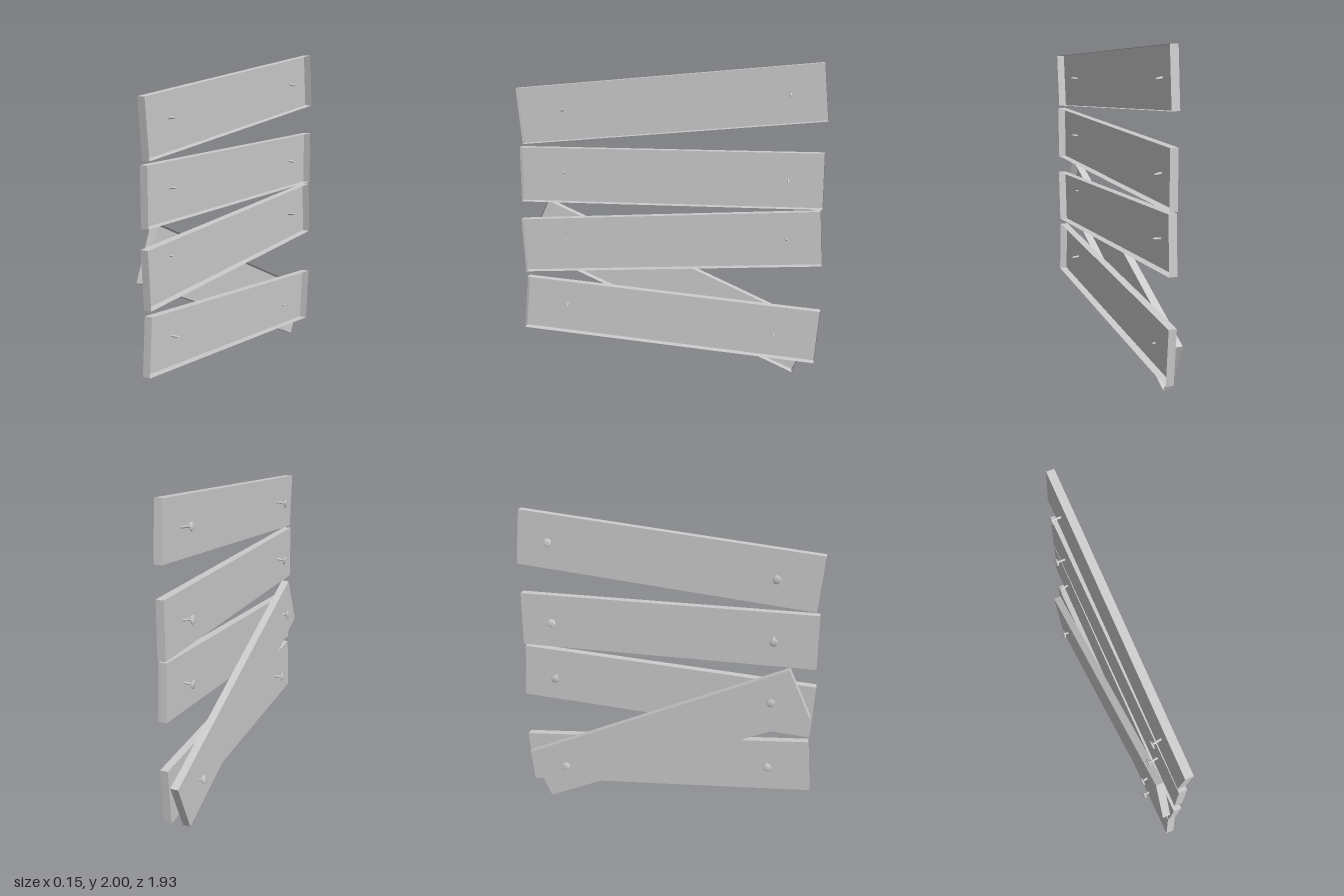
import * as THREE from 'three';

const material = new THREE.MeshStandardMaterial({ color: 0xcccccc, side: THREE.DoubleSide, flatShading: true });

// Hollow plank: a box without its +x face
function makePlank(name, x, y, angle) {
  const geometry = new THREE.BoxGeometry(0.05, 0.351, 1.905);
  geometry.setIndex(Array.from(geometry.index.array).slice(6));
  geometry.clearGroups();
  const plank = new THREE.Mesh(geometry, material);
  plank.name = name;
  plank.position.set(x, y, 0);
  plank.rotation.x = THREE.MathUtils.degToRad(angle);
  return plank;
}

// Nail profile from the point up to the flat, slightly domed head
const nailProfile = [
  [0, 0], [0.007, 0.016], [0.007, 0.098], [0.014, 0.101],
  [0.027, 0.105], [0.027, 0.111], [0.015, 0.115], [0, 0.116],
].map(([r, h]) => new THREE.Vector2(r, h));
const nailGeometry = new THREE.LatheGeometry(nailProfile, 10);

// Nail whose head centre sits at (x, y, z), its point leaning to (tipY, tipZ)
function makeNail(x, y, z, tipY, tipZ) {
  const nail = new THREE.Mesh(nailGeometry, material);
  nail.name = 'nail';
  const head = new THREE.Vector3(x, y, z);
  const toHead = head.clone().sub(new THREE.Vector3(x + 0.11, tipY, tipZ)).normalize();
  nail.quaternion.setFromUnitVectors(new THREE.Vector3(0, 1, 0), toHead);
  nail.position.copy(head).addScaledVector(toHead, -0.11);
  return nail;
}

export function createModel() {
  const model = new THREE.Group();
  model.name = 'brokenPlankBarrier';

  // Four stacked planks and the diagonal brace behind them
  model.add(
    makePlank('topPlank', 0.045, 1.7375, 5.28),
    makePlank('upperPlank', 0.045, 1.279, 0),
    makePlank('lowerPlank', 0.045, 0.863, 3.2),
    makePlank('bottomPlank', 0.045, 0.344, -4.77),
    makePlank('diagonalBrace', -0.005, 0.5525, -24.3),
  );

  // Crooked nails, two per plank
  const nails = [
    [-0.04, 1.68, 0.69, 1.692, 0.677],
    [-0.043, 1.817, -0.73, 1.8, -0.738],
    [-0.04, 1.282, 0.69, 1.296, 0.677],
    [-0.04, 1.288, -0.73, 1.27, -0.738],
    [-0.068, 0.888, 0.695, 0.895, 0.68],
    [-0.036, 0.895, -0.728, 0.905, -0.738],
    [-0.034, 0.412, 0.69, 0.408, 0.675],
    [-0.066, 0.264, -0.67, 0.245, -0.672],
  ];
  for (const nail of nails) model.add(makeNail(...nail));

  return model;
}
